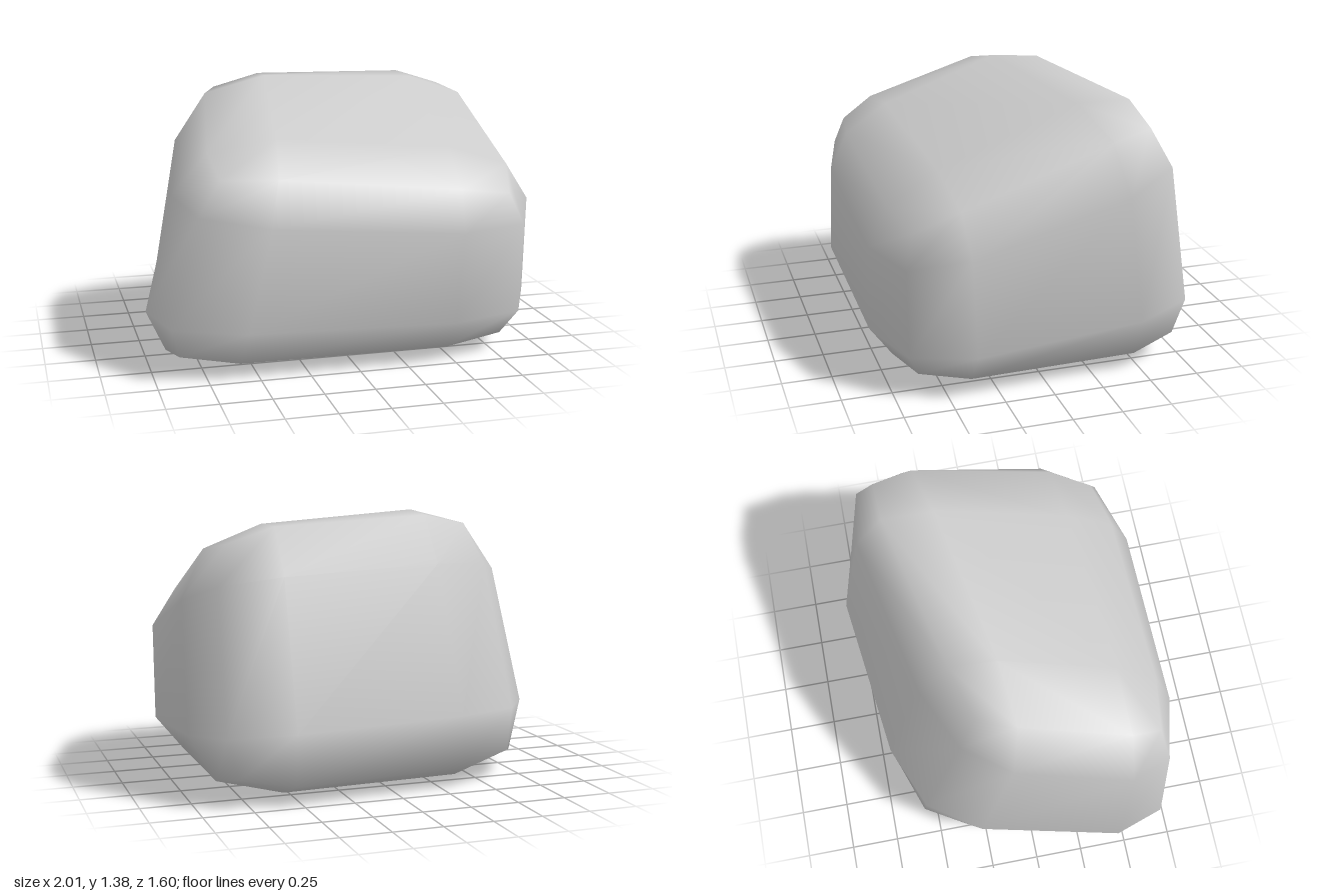
import * as THREE from 'three';
import { mergeVertices } from 'three/addons/utils/BufferGeometryUtils.js';

// Sharp corners of the block before its edges are rounded: [x, y, z]
const V = (x, y, z) => new THREE.Vector3(x, y, z);
const bottom = { backLeft: V(-0.82, 0, -0.76), backRight: V(1, 0, -0.91), frontLeft: V(-1.165, 0, 0.8), frontRight: V(1, 0, 0.8) };
const top = { backLeft: V(-0.68, 1.51, -0.27), backRight: V(1, 1.45, -0.7), frontLeft: V(-0.86, 1.07, 0.8), frontRight: V(1, 0.85, 0.8) };

// Map unit-cube coordinates into the skewed block
function toBlock(u, v, w) {
  const layer = (c) => c.backLeft.clone().lerp(c.backRight, u)
    .lerp(c.frontLeft.clone().lerp(c.frontRight, u), w);
  return layer(bottom).lerp(layer(top), v);
}

function createBoulderGeometry() {
  const bevel = 0.25;
  // Inset by kind of point: on a face, on an edge, on a corner
  const inset = [0, 0, 0.28 * bevel, 0.42 * bevel];
  let geo = new THREE.BoxGeometry(1, 1, 1, 3, 3, 3);
  geo.deleteAttribute('uv');
  geo.deleteAttribute('normal');
  geo = mergeVertices(geo, 1e-3);
  const pos = geo.attributes.position;
  for (let i = 0; i < pos.count; i++) {
    const c = [pos.getX(i), pos.getY(i), pos.getZ(i)];
    const outer = c.map((a) => Math.abs(a) > 0.4);
    const d = inset[outer.filter(Boolean).length];
    const [u, v, w] = c.map((a, k) => {
      const t = outer[k] ? d : bevel;
      return a < 0 ? t : 1 - t;
    });
    const p = toBlock(u, v, w);
    pos.setXYZ(i, p.x, p.y, p.z);
  }
  geo.computeVertexNormals();
  return geo;
}

export function createModel() {
  const group = new THREE.Group();
  group.name = 'rock';
  const boulder = new THREE.Mesh(createBoulderGeometry(), new THREE.MeshStandardMaterial({ color: 0xcccccc }));
  boulder.name = 'boulder';
  group.add(boulder);
  return group;
}
